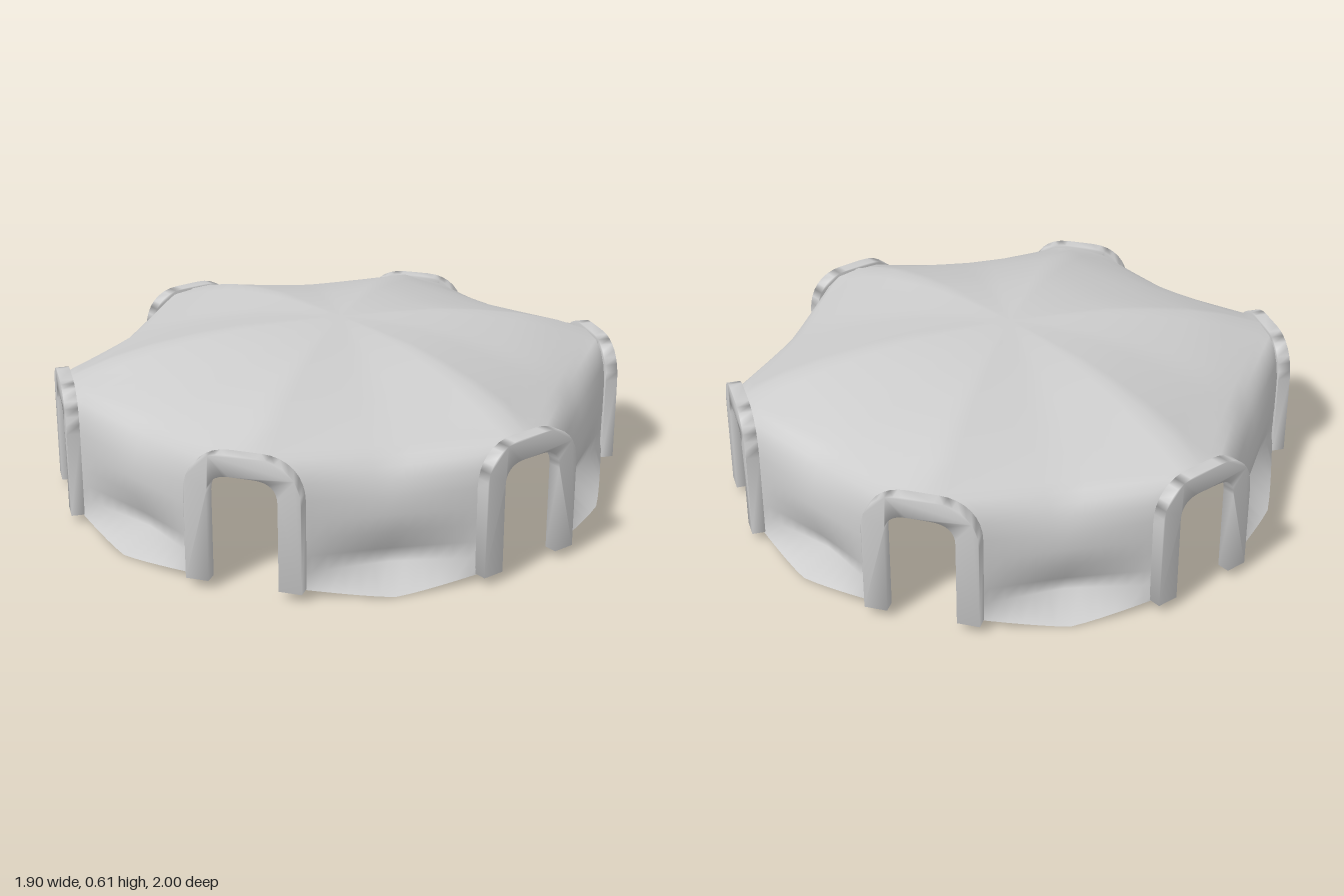
import * as THREE from 'three';
import { mergeVertices } from 'three/addons/utils/BufferGeometryUtils.js';

// Doorways around the tent: [degrees from the front, distance of the doorway plane]
const doors = [[0, 0.9775], [56, 0.965], [124, 0.968], [180, 0.9775], [235.5, 0.98], [302, 0.977]]
  .map(([a, d]) => ({ a: a * Math.PI / 180, d }));

// Canopy border along one doorway: [sideways, y], from the foot up to the arch top
const legRows = [[0.165, 0.03], [0.165, 0.08], [0.165, 0.14], [0.165, 0.2], [0.165, 0.26], [0.165, 0.33],
  [0.152, 0.385], [0.122, 0.43], [0.075, 0.457], [0, 0.462]];
// Cloth halfway between two doorways: [offset outward from the chord of the legs, y]
const midRows = [[0.057, 0], [-0.055, 0.07], [-0.03, 0.13], [0, 0.2], [0.005, 0.26], [0, 0.32],
  [-0.018, 0.37], [-0.042, 0.405], [-0.07, 0.43], [-0.1, 0.452]];
// Ridge from an arch top to the peak: [radius, y, sag between ridges]
const ridgeRows = [[0.83, 0.513, 0.022], [0.69, 0.55, 0.024], [0.53, 0.578, 0.018],
  [0.37, 0.597, 0.01], [0.18, 0.603, 0.003], [0, 0.606, 0]];

function doorPoint({ a, d }, side, y) {
  return new THREE.Vector3(Math.sin(a) * d + Math.cos(a) * side, y, Math.cos(a) * d - Math.sin(a) * side);
}

// Rows of [left border, middle, right border] for the panel between two doorways
function panelRows(A, B) {
  const midAngle = Math.atan2(Math.sin(A.a) + Math.sin(B.a), Math.cos(A.a) + Math.cos(B.a));
  const out = new THREE.Vector3(Math.sin(midAngle), 0, Math.cos(midAngle));
  const a = { a: A.a, d: A.d - 0.012 }, b = { a: B.a, d: B.d - 0.012 };
  const chord = doorPoint(a, 0.165, 0).add(doorPoint(b, -0.165, 0)).multiplyScalar(0.5).dot(out);
  const rows = legRows.map(([side, y], i) => {
    const m = out.clone().multiplyScalar(chord + midRows[i][0]);
    m.y = midRows[i][1];
    return [doorPoint(a, side, y), m, doorPoint(b, -side, y)];
  });
  for (const [r, y, sag] of ridgeRows) {
    const p = doorPoint({ a: A.a, d: r }, 0, y), q = doorPoint({ a: B.a, d: r }, 0, y);
    const m = p.clone().add(q).multiplyScalar(0.5);
    m.y -= sag;
    rows.push([p, m, q]);
  }
  return rows;
}

// One cloth surface made of six lofted panels
function canopyGeometry() {
  const N = 12, positions = [], index = [];
  doors.forEach((door, k) => {
    const rows = panelRows(door, doors[(k + 1) % doors.length]);
    const base = positions.length / 3;
    for (const [p, m, q] of rows) {
      const bulge = m.clone().sub(p.clone().add(q).multiplyScalar(0.5));
      for (let j = 0; j <= N; j++) {
        const s = j / N, w = 1 - Math.abs(2 * s - 1) ** 1.2;
        const v = p.clone().lerp(q, s).addScaledVector(bulge, w);
        positions.push(v.x, v.y, v.z);
      }
    }
    for (let i = 0; i < rows.length - 1; i++) {
      for (let j = 0; j < N; j++) {
        const c = base + i * (N + 1) + j, up = c + N + 1;
        index.push(c, c + 1, up + 1);
        if (i < rows.length - 2) index.push(c, up + 1, up);
      }
    }
  });
  const g = new THREE.BufferGeometry();
  g.setAttribute('position', new THREE.Float32BufferAttribute(positions, 3));
  g.setIndex(index);
  const merged = mergeVertices(g, 1e-4);
  merged.computeVertexNormals();
  return merged;
}

// Arch band with a soft-shaded square section, 0.045 deep
function archGeometry() {
  const foot = 0.03, depth = 0.045;
  const shape = new THREE.Shape();
  shape.moveTo(-0.195, foot);
  shape.lineTo(-0.118, foot);
  shape.lineTo(-0.118, 0.33);
  shape.bezierCurveTo(-0.118, 0.375, -0.09, 0.4, -0.04, 0.4);
  shape.lineTo(0.04, 0.4);
  shape.bezierCurveTo(0.09, 0.4, 0.118, 0.375, 0.118, 0.33);
  shape.lineTo(0.118, foot);
  shape.lineTo(0.195, foot);
  shape.lineTo(0.195, 0.33);
  shape.bezierCurveTo(0.195, 0.415, 0.14, 0.472, 0.05, 0.472);
  shape.lineTo(-0.05, 0.472);
  shape.bezierCurveTo(-0.14, 0.472, -0.195, 0.415, -0.195, 0.33);
  const g = new THREE.ExtrudeGeometry(shape, { depth, bevelEnabled: false, curveSegments: 8 });
  g.translate(0, 0, -depth / 2);
  g.deleteAttribute('normal');
  g.deleteAttribute('uv');
  const smooth = mergeVertices(g, 1e-4);
  smooth.computeVertexNormals();
  return smooth;
}

export function createModel() {
  const model = new THREE.Group();
  const material = new THREE.MeshStandardMaterial({ color: 0xcccccc });
  const cloth = new THREE.MeshStandardMaterial({ color: 0xcccccc, side: THREE.DoubleSide });

  const canopy = new THREE.Mesh(canopyGeometry(), cloth);
  canopy.name = 'canopy';
  model.add(canopy);

  // Doorway arches
  const archGeo = archGeometry();
  doors.forEach((door, i) => {
    const arch = new THREE.Mesh(archGeo, material);
    arch.name = 'doorArch' + (i + 1);
    arch.position.copy(doorPoint(door, 0, 0));
    arch.rotation.y = door.a;
    model.add(arch);
  });
  return model;
}
